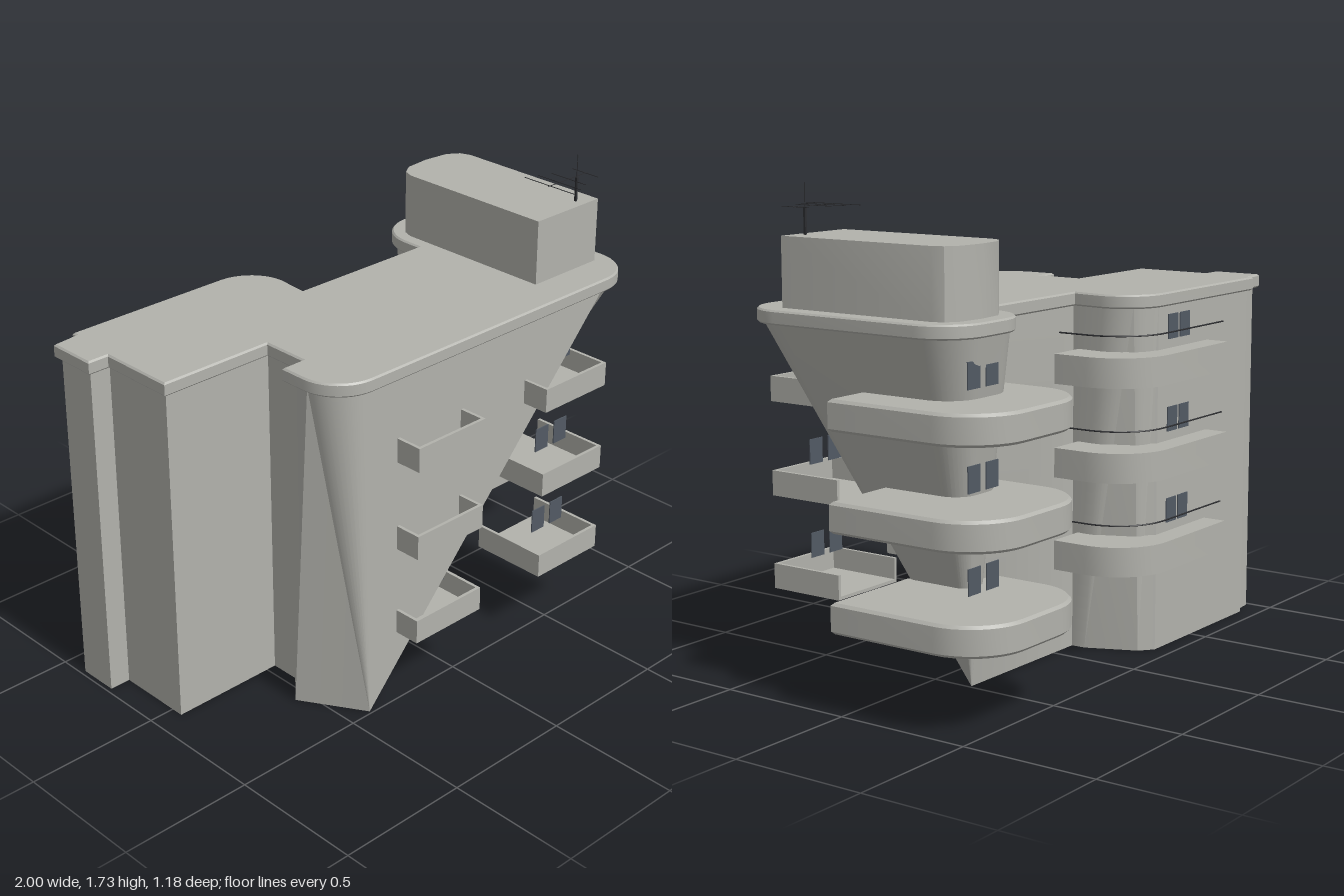
import * as THREE from 'three';
import { toCreasedNormals } from 'three/addons/utils/BufferGeometryUtils.js';

const mat = (name, color) => {
  const m = new THREE.MeshStandardMaterial({ color });
  m.name = name;
  return m;
};

// Plan points are [x, z]; angles in degrees, 0 = +x, 90 = +z
function arc(cx, cz, r, a0, a1, n = 10) {
  return Array.from({ length: n + 1 }, (_, i) => {
    const a = THREE.MathUtils.degToRad(a0 + ((a1 - a0) * i) / n);
    return [cx + r * Math.cos(a), cz + r * Math.sin(a)];
  });
}

// Horizontal slab between y0 and y1 from a plan outline, with a small edge bevel
function slab(plan, y0, y1, bevel = 0) {
  const shape = new THREE.Shape(plan.map(([x, z]) => new THREE.Vector2(x, -z)));
  const g = new THREE.ExtrudeGeometry(shape, {
    depth: y1 - y0 - 2 * bevel, bevelEnabled: bevel > 0, bevelThickness: bevel,
    bevelSize: bevel, bevelOffset: -bevel, bevelSegments: 1,
  });
  g.rotateX(-Math.PI / 2).translate(0, y0 + bevel, 0);
  return toCreasedNormals(g, 0.5);
}

// Plan of the building, inset by d; each entry is [top point, bottom point]
function plan(d) {
  const toeBack = [0.49, -0.15], toeFront = [-0.41, 0.49];
  const out = [];
  const add = (pts, foot) => pts.forEach((p, i) =>
    out.push([p, foot ? foot(i, pts.length) : p]));
  // wing end and back wall
  add([[-1 + d, -0.23 - d], [-1 + d, -0.42 + d], [-0.9 + d, -0.43 + d], [-0.9 + d, -0.45 + d]]);
  // rounded inner corner of the wing
  add(arc(-0.25, -0.29, 0.16 - d, -90, 0),
    (i, n) => (i === 0 ? [-0.25, -0.45 + d] : i < n / 2 ? [-0.2, -0.39] : [-0.12, -0.21]));
  add([[-0.1 - d, -0.175 + d]]);
  // flared rear lobe, right side and front corner all taper to one toe
  add([[0.48 + d, -0.175 + d], ...arc(0.64, -0.25, 0.16 - d, -180, -90),
    ...arc(0.76, -0.25, 0.16 - d, -90, 0), ...arc(0.76, 0.34, 0.16 - d, 0, 90)], () => toeBack);
  // front left corner tapers to the second toe
  add(arc(-0.41, 0.34, 0.16 - d, 90, 180), () => toeFront);
  add([[-0.57 + d, 0.24 + d], [-0.48 + d, 0.24 + d], [-0.48 + d, 0.065 - d],
    [-0.92 + d, 0.065 - d], [-0.92 + d, -0.23 - d]]);
  return out;
}

// Walls ruled between the roof plan and the footprint, closed underneath
function wallGeometry(rows, height) {
  const pos = [];
  const same = (a, b) => Math.hypot(a[0] - b[0], a[1] - b[1]) < 1e-5;
  const put = (...v) => v.forEach(([p, y]) => pos.push(p[0], y, p[1]));
  const foot = [];
  rows.forEach(([aT, aB], i) => {
    const [bT, bB] = rows[(i + 1) % rows.length];
    if (!same(aT, bT)) put([aT, height], [bT, height], [bB, 0]);
    if (!same(aB, bB)) {
      put([aT, height], [bB, 0], [aB, 0]);
      foot.push(new THREE.Vector2(aB[0], aB[1]));
    }
  });
  const cap = new THREE.ShapeGeometry(new THREE.Shape(foot)).rotateX(Math.PI / 2).toNonIndexed();
  pos.push(...cap.attributes.position.array);
  const g = new THREE.BufferGeometry();
  g.setAttribute('position', new THREE.Float32BufferAttribute(pos, 3));
  g.computeVertexNormals();
  return toCreasedNormals(g, 0.4);
}

export function createModel() {
  const model = new THREE.Group();
  model.name = 'apartmentBuilding';
  const concrete = mat('concrete', 0xb2b2ac);
  const glass = mat('windowGlass', 0x525a64);
  const metal = mat('darkMetal', 0x2c2d30);

  const add = (name, geo, material, parent = model) => {
    const m = new THREE.Mesh(geo, material);
    m.name = name;
    parent.add(m);
    return m;
  };
  const box = (name, x0, x1, y0, y1, z0, z1, material, parent) =>
    add(name, new THREE.BoxGeometry(x1 - x0, y1 - y0, z1 - z0), material, parent)
      .position.set((x0 + x1) / 2, (y0 + y1) / 2, (z0 + z1) / 2);

  // Main body and roof
  add('walls', wallGeometry(plan(0.018), 1.27), concrete);
  add('roofSlab', slab(plan(0).map((r) => r[0]), 1.26, 1.31, 0.006), concrete);
  add('penthouse', slab([[0.53, 0.36], [0.53, -0.27], [0.545, -0.31], [0.59, -0.34], [0.69, -0.35],
    [0.79, -0.34], [0.835, -0.31], [0.85, -0.27], [0.85, 0.36]], 1.3, 1.55), concrete);

  // Plans of the two kinds of rounded balcony
  const lobePlan = [[0.39, -0.17], ...arc(0.59, -0.39, 0.2, -180, -90),
    ...arc(0.79, -0.38, 0.21, -90, 0), [1, 0.04], [0.6, 0.04], [0.5, -0.17]];
  const wingPlan = [[-0.59, -0.4], [-0.59, -0.52], ...arc(-0.175, -0.31, 0.21, -90, 0),
    [0.035, -0.18], [-0.13, -0.18], [-0.26, -0.4]];
  const railPath = [[-0.58, -0.505], [-0.4, -0.505], ...arc(-0.175, -0.31, 0.195, -90, 0), [0.02, -0.19]];

  for (let floor = 0; floor < 3; floor++) {
    const y = 0.273 + floor * 0.337;
    const storey = new THREE.Group();
    storey.name = 'storey' + (floor + 1);
    model.add(storey);

    add('lobeBalcony', slab(lobePlan, y, y + 0.107, 0.01), concrete, storey);
    add('wingBalcony', slab(wingPlan, y + 0.05, y + 0.157), concrete, storey);

    // Thin handrail above the wing balcony
    const rail = new THREE.CatmullRomCurve3(
      railPath.map(([x, z]) => new THREE.Vector3(x, y + 0.232, z)), false, 'centripetal');
    add('handrail', new THREE.TubeGeometry(rail, 40, 0.003, 5), metal, storey);

    // Open front balconies: floor and three parapets
    for (const x of [-0.28, 0.35]) {
      const b = new THREE.Group();
      b.name = 'frontBalcony';
      storey.add(b);
      const w = 0.318, t = 0.012, top = y + 0.09;
      box('balconyFloor', x, x + w, y, y + t, 0.29, 0.588, concrete, b);
      box('balconyFront', x, x + w, y + t, top, 0.588 - t, 0.588, concrete, b);
      box('balconySide', x, x + t, y + t, top, 0.29, 0.588 - t, concrete, b);
      box('balconySide', x + w - t, x + w, y + t, top, 0.29, 0.588 - t, concrete, b);
    }

    // Window pairs: [x of the first pane, gap to second, bottom, z]
    for (const [x, step, y0, z] of [[0.427, 0.098, y + 0.11, 0.48], [-0.205, 0.098, y + 0.11, 0.48],
      [0.633, 0.098, y + 0.147, -0.37], [-0.46, 0.08, y + 0.19, -0.434]])
      for (let k = 0; k < 2; k++)
        box('window', x + k * step, x + k * step + 0.066, y0, y0 + 0.09, z - 0.002, z + 0.002, glass, storey);
  }

  // Rooftop antenna: mast, boom and crossing elements
  const antenna = new THREE.Group();
  antenna.name = 'antenna';
  model.add(antenna);
  box('mast', 0.77, 0.778, 1.55, 1.64, 0.316, 0.324, metal, antenna);
  box('mastTip', 0.773, 0.775, 1.64, 1.725, 0.319, 0.321, metal, antenna);
  box('boom', 0.62, 0.83, 1.644, 1.646, 0.319, 0.321, metal, antenna);
  [0.63, 0.68, 0.73, 0.82].forEach((x, i) => {
    const half = 0.12 - i * 0.02;
    box('element', x - 0.001, x + 0.001, 1.644, 1.646, 0.32 - half, 0.32 + half, metal, antenna);
  });
  return model;
}
